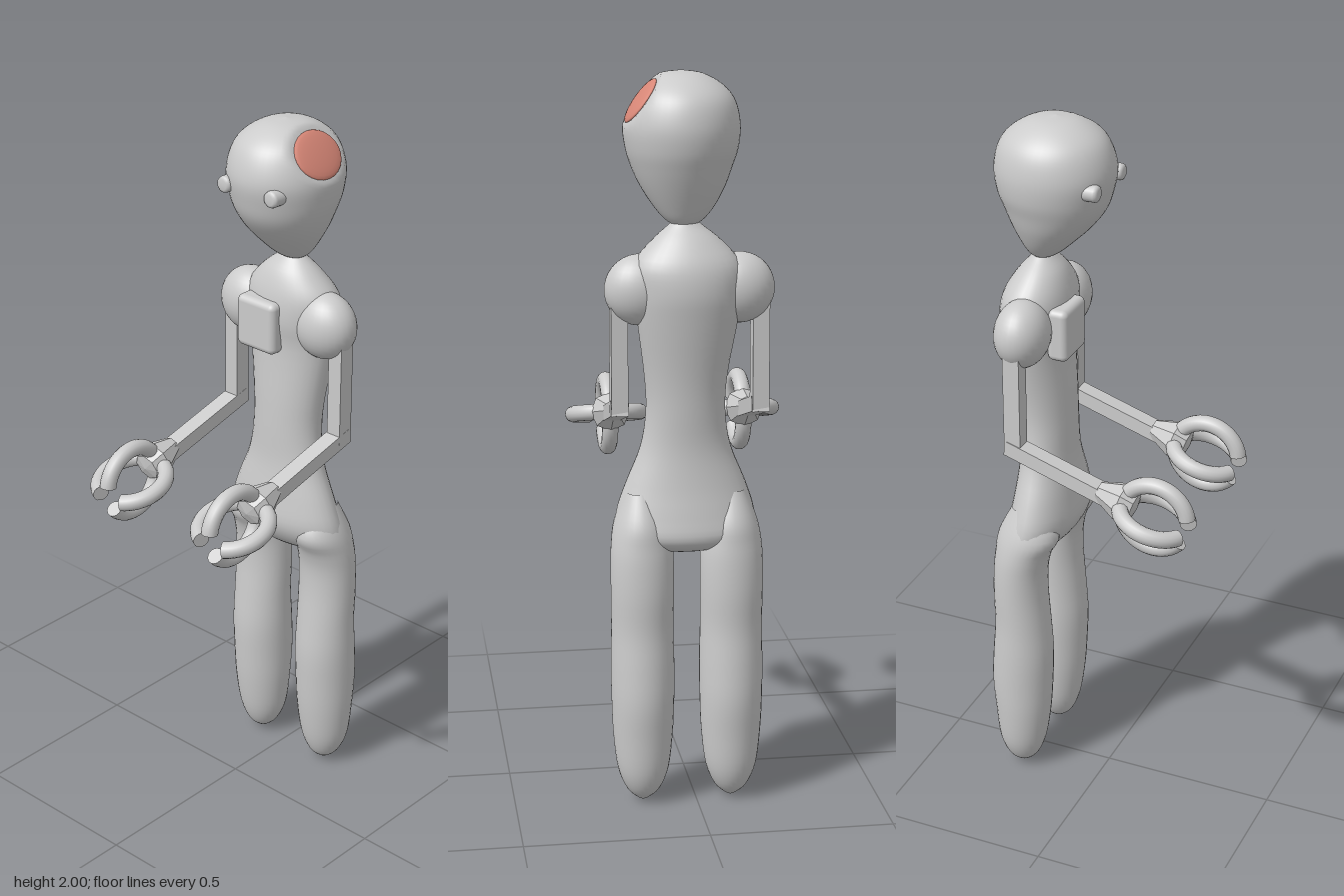
import * as THREE from 'three';
import { RoundedBoxGeometry } from 'three/addons/geometries/RoundedBoxGeometry.js';

const grey = new THREE.MeshStandardMaterial({ color: 0xcccccc });
const facet = new THREE.MeshStandardMaterial({ color: 0xcccccc, flatShading: true });
const red = new THREE.MeshStandardMaterial({ color: 0xd98878 });

function add(parent, name, geometry, material = grey) {
  const mesh = new THREE.Mesh(geometry, material);
  mesh.name = name;
  parent.add(mesh);
  return mesh;
}

// Smooth skin through oval rings [y, xMin, xMax, zMin, zMax], listed from top to bottom
function loft(rings, steps = 4, sides = 32) {
  const xs = new THREE.CatmullRomCurve3(rings.map(r => new THREE.Vector3(r[0], r[1], r[2])), false, 'catmullrom', 0.5);
  const zs = new THREE.CatmullRomCurve3(rings.map(r => new THREE.Vector3(r[0], r[3], r[4])), false, 'catmullrom', 0.5);
  const rows = (rings.length - 1) * steps;
  const pos = [], idx = [];
  for (let i = 0; i <= rows; i++) {
    const a = xs.getPoint(i / rows), b = zs.getPoint(i / rows);
    for (let j = 0; j < sides; j++) {
      const t = j / sides * Math.PI * 2;
      pos.push((a.y + a.z) / 2 + (a.z - a.y) / 2 * Math.cos(t), a.x, (b.y + b.z) / 2 + (b.z - b.y) / 2 * Math.sin(t));
      if (i === rows) continue;
      const p = i * sides + j, q = i * sides + (j + 1) % sides;
      idx.push(p, q, p + sides, q, q + sides, p + sides);
    }
  }
  const g = new THREE.BufferGeometry();
  g.setAttribute('position', new THREE.Float32BufferAttribute(pos, 3));
  g.setIndex(idx);
  g.computeVertexNormals();
  return g;
}

// Straight square bar between two points
function beam(parent, name, a, b, thick, wide) {
  const dir = b.clone().sub(a);
  const bar = add(parent, name, new THREE.BoxGeometry(dir.length(), thick, wide), facet);
  bar.position.copy(a).lerp(b, 0.5);
  bar.quaternion.setFromUnitVectors(new THREE.Vector3(-1, 0, 0), dir.normalize());
}

function makeHead() {
  const head = new THREE.Group();
  head.name = 'head';
  const skull = loft([
    [2.0, 0.162, 0.164, 0.029, 0.031], [1.99, 0.1, 0.23, -0.03, 0.09], [1.96, 0.045, 0.285, -0.082, 0.14],
    [1.92, 0.015, 0.318, -0.112, 0.168], [1.86, 0.0, 0.332, -0.125, 0.184], [1.8, 0.01, 0.325, -0.12, 0.178],
    [1.75, 0.028, 0.307, -0.104, 0.163], [1.7, 0.065, 0.285, -0.085, 0.14], [1.65, 0.115, 0.26, -0.056, 0.108],
    [1.615, 0.155, 0.24, -0.025, 0.078], [1.595, 0.19, 0.22, 0.01, 0.045]], 5, 48);
  // Flatten one upper side of the skull
  const normal = new THREE.Vector3(0, 0.59, 0.81);
  const plane = new THREE.Plane().setFromNormalAndCoplanarPoint(normal, new THREE.Vector3(0.165, 1.92, 0.137));
  const p = skull.attributes.position, v = new THREE.Vector3();
  for (let i = 0; i < p.count; i++) {
    v.fromBufferAttribute(p, i);
    if (plane.distanceToPoint(v) > 0) plane.projectPoint(v, v);
    p.setXYZ(i, v.x, v.y, v.z);
  }
  skull.computeVertexNormals();
  add(head, 'skull', skull);

  const patch = add(head, 'headPatch', new THREE.SphereGeometry(1, 24, 12), red);
  patch.scale.set(0.083, 0.012, 0.069);
  patch.position.set(0.167, 1.922, 0.137);
  patch.quaternion.setFromUnitVectors(new THREE.Vector3(0, 1, 0), normal.normalize());

  // Round stub eyes pointing forward along -x
  const profile = [[0, 0.045], [0.014, 0.045], [0.021, 0.041], [0.023, 0.034], [0.023, -0.045]]
    .map(([r, h]) => new THREE.Vector2(r, h)).reverse();
  for (const z of [-0.052, 0.112]) {
    const eye = add(head, 'eye', new THREE.LatheGeometry(profile, 20));
    eye.rotation.z = Math.PI / 2;
    eye.position.set(0.05, 1.835, z);
  }
  return head;
}

// Four curved fingers around a faceted palm; the wrist is toward local +x
function makeClaw() {
  const claw = new THREE.Group();
  claw.name = 'claw';
  const R = 0.095, r = 0.023, sweep = Math.PI - 0.43;
  for (let k = 0; k < 4; k++) {
    const finger = new THREE.Group();
    finger.name = 'finger';
    add(finger, 'fingerCurve', new THREE.TorusGeometry(R, r, 14, 28, sweep));
    const tip = add(finger, 'fingerTip', new THREE.CircleGeometry(r, 14));
    tip.position.set(R * Math.cos(sweep), R * Math.sin(sweep), 0);
    tip.quaternion.setFromUnitVectors(new THREE.Vector3(0, 0, 1), new THREE.Vector3(-Math.sin(sweep), Math.cos(sweep), 0));
    finger.rotation.x = k * Math.PI / 2;
    claw.add(finger);
  }
  const profile = [[0, 0.052], [0.04, 0.06], [0.055, 0.098], [0.026, 0.168], [0, 0.168]].map(([a, b]) => new THREE.Vector2(a, b));
  add(claw, 'palm', new THREE.LatheGeometry(profile, 8), facet).rotation.z = -Math.PI / 2;
  return claw;
}

export function createModel() {
  const model = new THREE.Group();
  model.name = 'robotFigure';
  model.add(makeHead());

  add(model, 'torso', loft([
    [1.625, 0.19, 0.22, 0.01, 0.04], [1.6, 0.17, 0.235, -0.02, 0.07], [1.56, 0.14, 0.27, -0.07, 0.115],
    [1.5, 0.12, 0.305, -0.12, 0.165], [1.43, 0.115, 0.315, -0.125, 0.165], [1.35, 0.125, 0.305, -0.115, 0.155],
    [1.2, 0.118, 0.28, -0.09, 0.135], [1.1, 0.115, 0.27, -0.085, 0.13], [1.0, 0.113, 0.265, -0.1, 0.145],
    [0.9, 0.1, 0.275, -0.14, 0.185], [0.82, 0.095, 0.29, -0.165, 0.212], [0.76, 0.125, 0.298, -0.16, 0.208],
    [0.725, 0.17, 0.27, -0.08, 0.125], [0.715, 0.219, 0.221, 0.022, 0.024]]));

  // Flat panel on the chest
  add(model, 'chestPanel', new RoundedBoxGeometry(0.06, 0.15, 0.135, 4, 0.018)).position.set(0.12, 1.415, -0.015);

  for (const s of [1, -1]) {
    // Leg with a rounded foot
    const c = 0.024 + s * 0.122;
    add(model, 'leg', loft([
      [0.88, 0.16, 0.25, 0.04], [0.8, 0.115, 0.29, 0.072], [0.74, 0.14, 0.3, 0.083], [0.68, 0.154, 0.306, 0.086],
      [0.6, 0.155, 0.309, 0.086], [0.5, 0.147, 0.307, 0.085], [0.4, 0.14, 0.315, 0.087], [0.3, 0.143, 0.32, 0.086],
      [0.2, 0.15, 0.312, 0.082], [0.1, 0.165, 0.302, 0.07], [0.04, 0.187, 0.28, 0.046], [0.012, 0.215, 0.25, 0.018],
      [0.002, 0.231, 0.233, 0.001]].map(([y, a, b, h]) => [y, a, b, c - h, c + h])));

    // Shoulder, arm and claw
    const z = 0.0125 + s * 0.19, handZ = s * 0.19;
    const shoulder = add(model, 'shoulder', new THREE.SphereGeometry(1, 28, 20));
    shoulder.scale.set(0.075, 0.095, 0.095);
    shoulder.position.set(0.2, 1.43, 0.0125 + s * 0.133);
    beam(model, 'upperArm', new THREE.Vector3(0.2, 1.42, z), new THREE.Vector3(0.2, 1.092, z), 0.048, 0.045);
    beam(model, 'forearm', new THREE.Vector3(0.22, 1.115, z), new THREE.Vector3(-0.1, 1.022, handZ), 0.042, 0.048);
    const claw = makeClaw();
    claw.position.set(-0.214, 0.996, handZ);
    claw.rotation.z = 0.28;
    model.add(claw);
  }
  return model;
}
